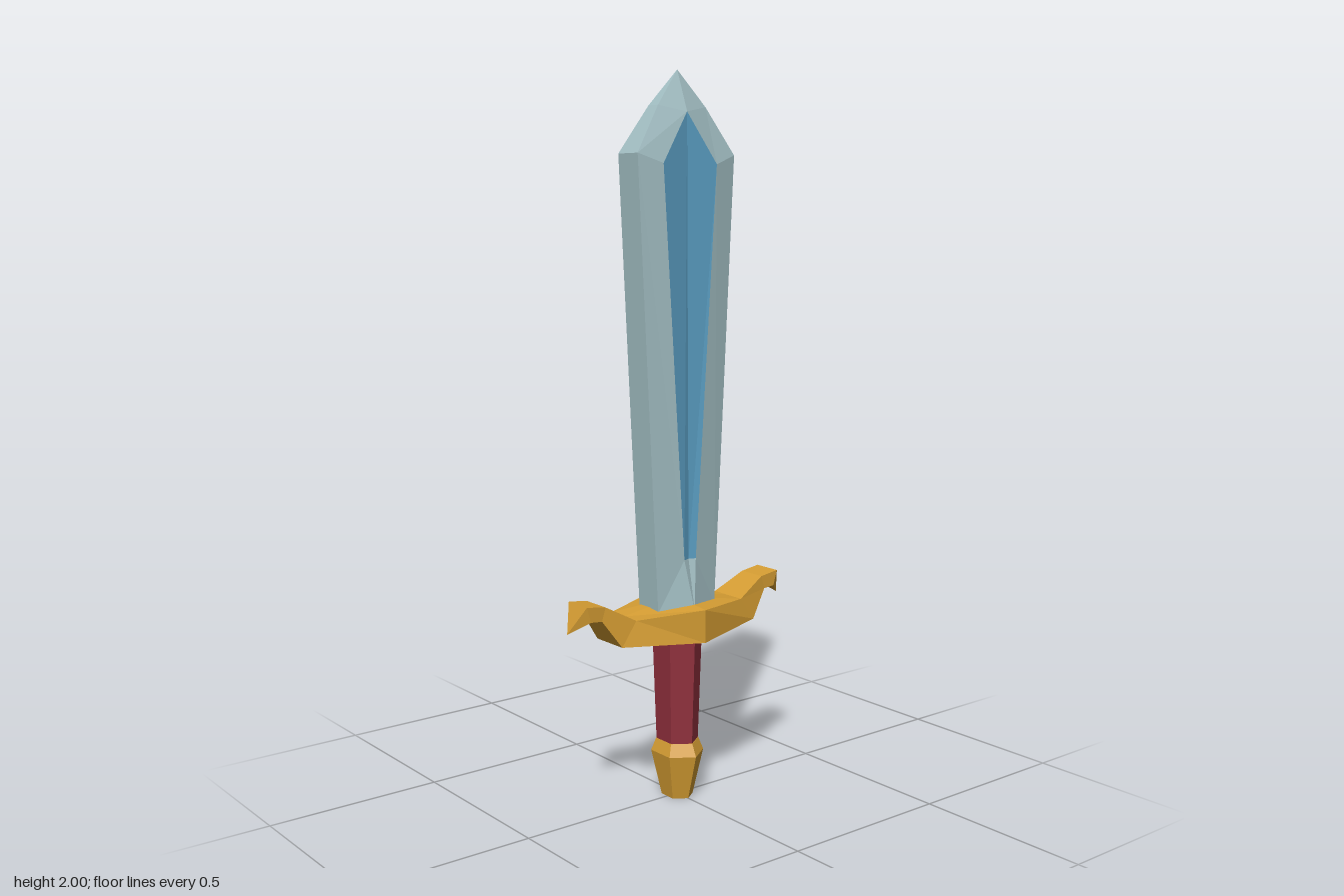
import * as THREE from 'three';

const mat = (color) => new THREE.MeshStandardMaterial({ color, flatShading: true });

function makeMesh(name, positions, material) {
  const g = new THREE.BufferGeometry();
  g.setAttribute('position', new THREE.Float32BufferAttribute(positions, 3));
  g.computeVertexNormals();
  const m = new THREE.Mesh(g, material);
  m.name = name;
  return m;
}

// Polygons given counter-clockwise for the +x +z quarter, mirrored into all four quarters
function quarterMirrored(polygons) {
  const out = [];
  for (const sx of [1, -1]) for (const sz of [1, -1]) {
    for (const poly of polygons) {
      const p = poly.map(([x, y, z]) => [x * sx, y, z * sz]);
      if (sx * sz < 0) p.reverse();
      for (let i = 1; i < p.length - 1; i++) out.push(...p[0], ...p[i], ...p[i + 1]);
    }
  }
  return out;
}

// Six-sided turned part, squeezed along x
function hexTurned(name, profile, material) {
  const g = new THREE.LatheGeometry(profile.map(([r, y]) => new THREE.Vector2(r, y)), 6);
  g.scale(0.83, 1, 1);
  const m = new THREE.Mesh(g, material);
  m.name = name;
  return m;
}

export function createModel() {
  const sword = new THREE.Group();
  sword.name = 'sword';
  const steel = mat(0xa3bfc4), blue = mat(0x5b9fc4), gold = mat(0xd59d33), red = mat(0x91303d);

  // Blade corners: outer edge, shoulder, tip and the sunken groove
  const edgeLow = [0.099, 0.55, 0.042], ridgeLow = [0, 0.55, 0.077];
  const shoulder = [0.163, 1.78, 0.042], tipSide = [0.08, 1.905, 0.0206], tip = [0, 2, 0];
  const grooveLow = [0.02, 0.69, 0.057], grooveHigh = [0.09, 1.755, 0.057];
  const grooveTip = [0, 1.89, 0.042], grooveMid = [0, 0.69, 0.05];
  const flat = ([x, y]) => [x, y, 0];
  sword.add(makeMesh('blade', quarterMirrored([
    [ridgeLow, edgeLow, grooveLow],
    [ridgeLow, grooveLow, grooveMid],
    [edgeLow, shoulder, grooveHigh, grooveLow],
    [grooveHigh, shoulder, tipSide, grooveTip],
    [grooveTip, tipSide, tip],
    [edgeLow, flat(edgeLow), flat(shoulder), shoulder],
    [shoulder, flat(shoulder), flat(tipSide), tipSide],
    [tipSide, flat(tipSide), tip],
  ]), steel));
  sword.add(makeMesh('bladeGroove', quarterMirrored([
    [grooveMid, grooveLow, grooveHigh, grooveTip],
  ]), blue));

  // Guard sections from the middle outwards: mid top, rim top, rim bottom, mid bottom
  const section = (xt, yt, xb, yb, z, crown = 0) => [
    [xt, yt + crown, 0], [xt, yt, z], [xb, yb, z], [xb, yb - crown, 0],
  ];
  const sections = [
    section(0, 0.56, 0, 0.468, 0.123, 0.014),
    section(0.185, 0.548, 0.232, 0.482, 0.057),
    section(0.275, 0.597, 0.287, 0.56, 0.042),
    section(0.335, 0.606, 0.322, 0.563, 0.042),
  ];
  const guardFaces = [];
  for (let i = 0; i < sections.length - 1; i++) {
    for (let k = 0; k < 3; k++) {
      const a = sections[i], b = sections[i + 1];
      guardFaces.push([a[k], a[k + 1], b[k + 1], b[k]]);
    }
  }
  const last = sections[sections.length - 1];
  for (let k = 0; k < 3; k++) guardFaces.push([last[k], last[k + 1], [0.37, 0.53, 0]]);
  sword.add(makeMesh('guard', quarterMirrored(guardFaces), gold));

  // Grip and pommel
  sword.add(hexTurned('grip', [[0.066, 0.15], [0.079, 0.48]], red));
  sword.add(hexTurned('pommel', [[0, 0], [0.05, 0], [0.084, 0.13], [0.068, 0.165], [0, 0.165]], gold));
  return sword;
}
